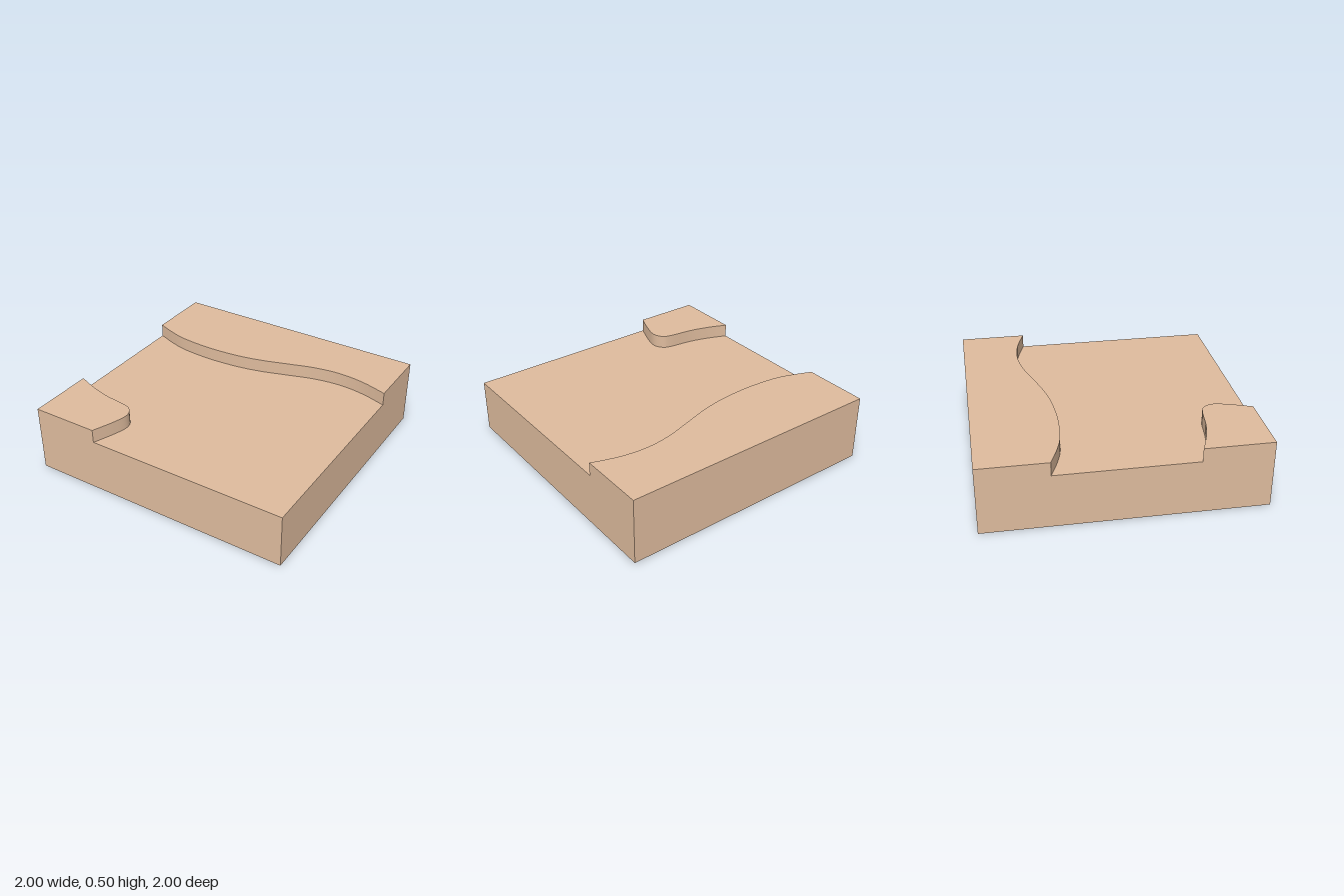
import * as THREE from 'three';
import { toCreasedNormals } from 'three/addons/utils/BufferGeometryUtils.js';

const BASE = 0.4, STEP = 0.1;
const material = new THREE.MeshStandardMaterial({ color: 0xdebb9d });

// Raised bank: a smooth shoreline through [x, z] points, closed by straight tile edges
function bank(name, shoreline, corners) {
  const toPlan = ([x, z]) => new THREE.Vector2(x, -z);
  const curve = new THREE.SplineCurve(shoreline.map(toPlan));
  const shape = new THREE.Shape([...curve.getPoints(64), ...corners.map(toPlan)]);
  const geometry = new THREE.ExtrudeGeometry(shape, { depth: STEP, bevelEnabled: false });
  geometry.rotateX(-Math.PI / 2).translate(0, BASE, 0);
  const mesh = new THREE.Mesh(toCreasedNormals(geometry, Math.PI / 6), material);
  mesh.name = name;
  return mesh;
}

export function createModel() {
  const model = new THREE.Group();
  model.name = 'terrainTile';

  // Ground slab, whose top is the low bed
  const slab = new THREE.Mesh(new THREE.BoxGeometry(2, BASE, 2), material);
  slab.name = 'groundSlab';
  slab.position.y = BASE / 2;
  model.add(slab);

  // Winding bank along the back
  model.add(bank('backBank', [
    [-1, -0.505], [-0.85, -0.447], [-0.7, -0.408], [-0.45, -0.39], [-0.2, -0.405], [0, -0.443],
    [0.2, -0.503], [0.4, -0.561], [0.6, -0.585], [0.8, -0.564], [1, -0.505],
  ], [[1, -1], [-1, -1]]));

  // Small rounded bank in the front right corner
  model.add(bank('cornerBank', [
    [-1, 0.5], [-0.85, 0.558], [-0.7, 0.598], [-0.52, 0.622], [-0.45, 0.65],
    [-0.415, 0.725], [-0.44, 0.84], [-0.5, 1],
  ], [[-1, 1]]));

  return model;
}
